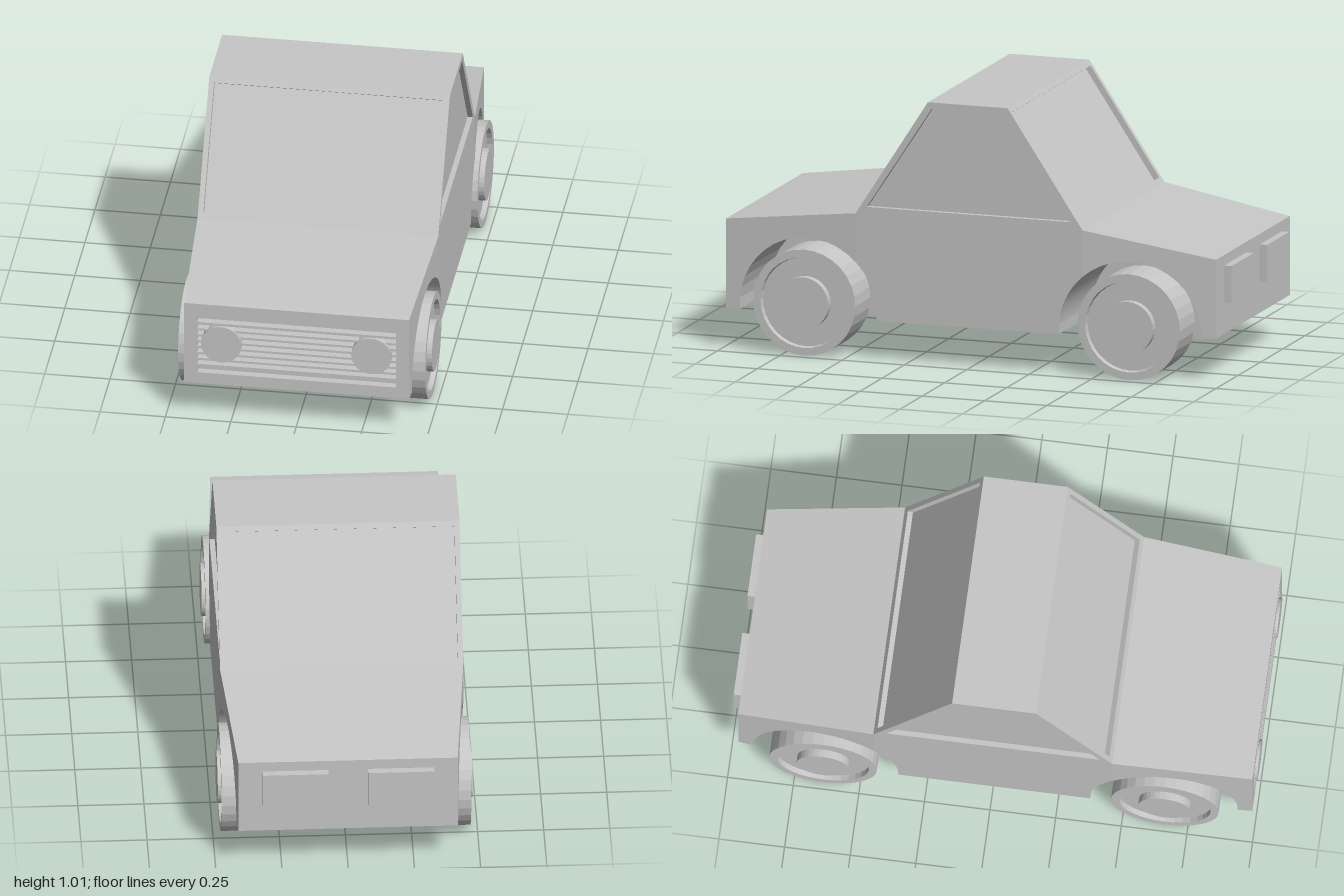
import * as THREE from 'three';

const paint = new THREE.MeshStandardMaterial({ color: 0xc6c6c6 });
paint.name = 'plainGrey';

const HALF = 0.46, INSET = 0.023;
const BELT = 0.565, ROOF = 1.015;
const FRONT_BREAK = 0.46, REAR_BREAK = -0.45;
const arches = { front: 0.655, rear: -0.635 };
const ARCH_Y = 0.175, ARCH_R = 0.28;

function add(parent, name, geometry) {
  const mesh = new THREE.Mesh(geometry, paint);
  mesh.name = name;
  parent.add(mesh);
  return mesh;
}

function polygon(points) {
  return new THREE.Shape(points.map(([a, b]) => new THREE.Vector2(a, b)));
}

function rectangle(x0, y0, x1, y1) {
  return [[x0, y0], [x1, y0], [x1, y1], [x0, y1]];
}

// Side profile given as [z, y], extruded across the car from x0 to x1
function slab(points, x0, x1, hole) {
  const shape = polygon(points);
  if (hole) shape.holes.push(polygon(hole));
  const g = new THREE.ExtrudeGeometry(shape, { depth: x1 - x0, bevelEnabled: false });
  g.rotateY(-Math.PI / 2);
  g.translate(x1, 0, 0);
  return g;
}

// Narrow the flanks toward the nose and the tail
function taper(g) {
  const p = g.attributes.position;
  for (let i = 0; i < p.count; i++) {
    const x = p.getX(i), z = p.getZ(i);
    if (Math.abs(x) < 0.2) continue;
    let w = HALF;
    if (z > FRONT_BREAK) w -= 0.03 * (z - FRONT_BREAK) / 0.53;
    if (z < REAR_BREAK) w -= 0.045 * (REAR_BREAK - z) / 0.52;
    p.setX(i, Math.sign(x) * w);
  }
  g.computeVertexNormals();
  return g;
}

// Wheel arch points [z, y] from zStart to zEnd
function arch(centre, zStart, zEnd) {
  const angle = z => Math.acos(THREE.MathUtils.clamp((z - centre) / ARCH_R, -1, 1));
  const a = angle(zStart), b = angle(zEnd), n = 14, pts = [];
  for (let i = 0; i <= n; i++) {
    const t = a + (b - a) * i / n;
    pts.push([centre + ARCH_R * Math.cos(t), ARCH_Y + ARCH_R * Math.sin(t)]);
  }
  return pts;
}

function buildBody(car) {
  const body = new THREE.Group();
  body.name = 'body';
  car.add(body);

  // Narrow centre spine between the wheel wells
  add(body, 'centreSpine', slab([[0.96, 0.155], [0.96, 0.504], [FRONT_BREAK, BELT], [REAR_BREAK, BELT],
    [-0.97, 0.48], [-0.97, 0.175], [-0.3, 0.155]], -0.1, 0.1));

  // Flanks in three lengths, with arches cut through to the spine
  const f = arches.front, r = arches.rear;
  const sections = {
    FrontFender: [[0.96, 0.155], [0.96, 0.504], [FRONT_BREAK, BELT],
      ...arch(f, FRONT_BREAK, f + 0.279), [f + 0.279, 0.155]],
    Door: [[REAR_BREAK, BELT], [FRONT_BREAK, BELT], ...arch(f, FRONT_BREAK, f - 0.279), [f - 0.279, 0.155],
      [-0.3, 0.155], [r + 0.279, 0.157], ...arch(r, r + 0.279, REAR_BREAK)],
    RearFender: [[REAR_BREAK, BELT], [-0.97, 0.48], [-0.97, 0.175], [r - 0.279, 0.173],
      ...arch(r, r - 0.279, REAR_BREAK)],
  };
  for (const [name, points] of Object.entries(sections)) {
    add(body, 'left' + name, taper(slab(points, 0.1, HALF)));
    add(body, 'right' + name, taper(slab(points, -HALF, -0.1)));
  }

  // Nose plate with nine grille slots; its back edge flares to meet the hood
  const nose = polygon(rectangle(-0.43, 0.155, 0.43, 0.5));
  nose.holes.push(polygon(rectangle(-0.38, 0.202, 0.38, 0.229)));
  nose.holes.push(polygon(rectangle(-0.38, 0.421, 0.38, 0.447)));
  for (let i = 0; i < 7; i++) {
    const y = 0.239 + i * 0.0258;
    nose.holes.push(polygon(rectangle(-0.38, y, 0.38, y + 0.017)));
  }
  const g = new THREE.ExtrudeGeometry(nose, { depth: 0.03, bevelEnabled: false });
  g.translate(0, 0, 0.96);
  const p = g.attributes.position;
  for (let i = 0; i < p.count; i++) {
    if (p.getZ(i) > 0.97) continue;
    if (p.getY(i) > 0.49) p.setY(i, 0.504);
    if (Math.abs(p.getX(i)) > 0.42) p.setX(i, Math.sign(p.getX(i)) * 0.4317);
  }
  g.computeVertexNormals();
  add(body, 'grille', g);
}

function buildCabin(car) {
  const cabin = new THREE.Group();
  cabin.name = 'cabin';
  car.add(cabin);

  // Inner block whose faces are the recessed panes
  add(cabin, 'windowPanes', slab([[0.432, BELT], [0.152, 1.0], [-0.132, 1.0], [-0.422, BELT]], -0.44, 0.44));

  const roof = add(cabin, 'roof', new THREE.BoxGeometry(2 * HALF, 0.015, 0.32));
  roof.position.set(0, ROOF - 0.0075, 0.01);

  // Side window frames
  const outline = [[FRONT_BREAK, BELT], [0.17, ROOF], [-0.15, ROOF], [REAR_BREAK, BELT]];
  const opening = [[0.415, 0.593], [0.155, 0.99], [-0.137, 0.99], [-0.4, 0.593]];
  add(cabin, 'leftWindowFrame', slab(outline, 0.44, HALF, opening));
  add(cabin, 'rightWindowFrame', slab(outline, -HALF, -0.44, opening));

  // Sloping frames around the windshield and rear window
  for (const [name, z, run, turn] of [
    ['windshieldFrame', FRONT_BREAK, 0.29, 0], ['rearWindowFrame', REAR_BREAK, 0.3, Math.PI]]) {
    const length = Math.hypot(run, ROOF - BELT);
    const shape = polygon(rectangle(-HALF, 0, HALF, length));
    shape.holes.push(polygon(rectangle(-0.44, 0.024, 0.44, length - 0.021)));
    const g = new THREE.ExtrudeGeometry(shape, { depth: INSET, bevelEnabled: false });
    g.translate(0, 0, -INSET);
    const frame = add(cabin, name, g);
    frame.rotation.order = 'YXZ';
    frame.rotation.set(-Math.atan2(run, ROOF - BELT), turn, 0);
    frame.position.set(0, BELT, z);
  }
}

function buildLights(car) {
  for (const [side, s] of [['left', 1], ['right', -1]]) {
    const lamp = new THREE.CylinderGeometry(0.077, 0.077, 0.05, 40);
    lamp.rotateX(Math.PI / 2);
    add(car, side + 'Headlight', lamp).position.set(s * 0.287, 0.335, 0.975);
    const tail = new THREE.BoxGeometry(0.25, 0.145, 0.05);
    add(car, side + 'TailLight', tail).position.set(s * 0.2, 0.367, -0.975);
  }
}

function buildWheels(car) {
  // Tyre, recessed rim and raised hub in one turned profile [radius, x]
  const profile = [[0, 0.302], [0.205, 0.302], [0.205, 0.472], [0.175, 0.472],
    [0.172, 0.452], [0.1, 0.452], [0.1, 0.482], [0, 0.482]].map(([r, x]) => new THREE.Vector2(r, x));
  const tyre = new THREE.LatheGeometry(profile, 32).toNonIndexed();
  tyre.computeVertexNormals();
  tyre.rotateZ(-Math.PI / 2);
  const axle = new THREE.CylinderGeometry(0.03, 0.03, 0.23, 16);
  axle.rotateZ(Math.PI / 2);
  axle.translate(0.2, 0, 0);

  for (const [end, z] of [['front', 0.662], ['rear', -0.64]]) {
    for (const [side, turn] of [['Left', 0], ['Right', Math.PI]]) {
      const wheel = new THREE.Group();
      wheel.name = end + side + 'Wheel';
      add(wheel, 'tyre', tyre);
      add(wheel, 'axle', axle);
      wheel.position.set(0, 0.207, z);
      wheel.rotation.y = turn;
      car.add(wheel);
    }
  }
}

export function createModel() {
  const car = new THREE.Group();
  car.name = 'car';
  buildBody(car);
  buildCabin(car);
  buildLights(car);
  buildWheels(car);
  return car;
}
